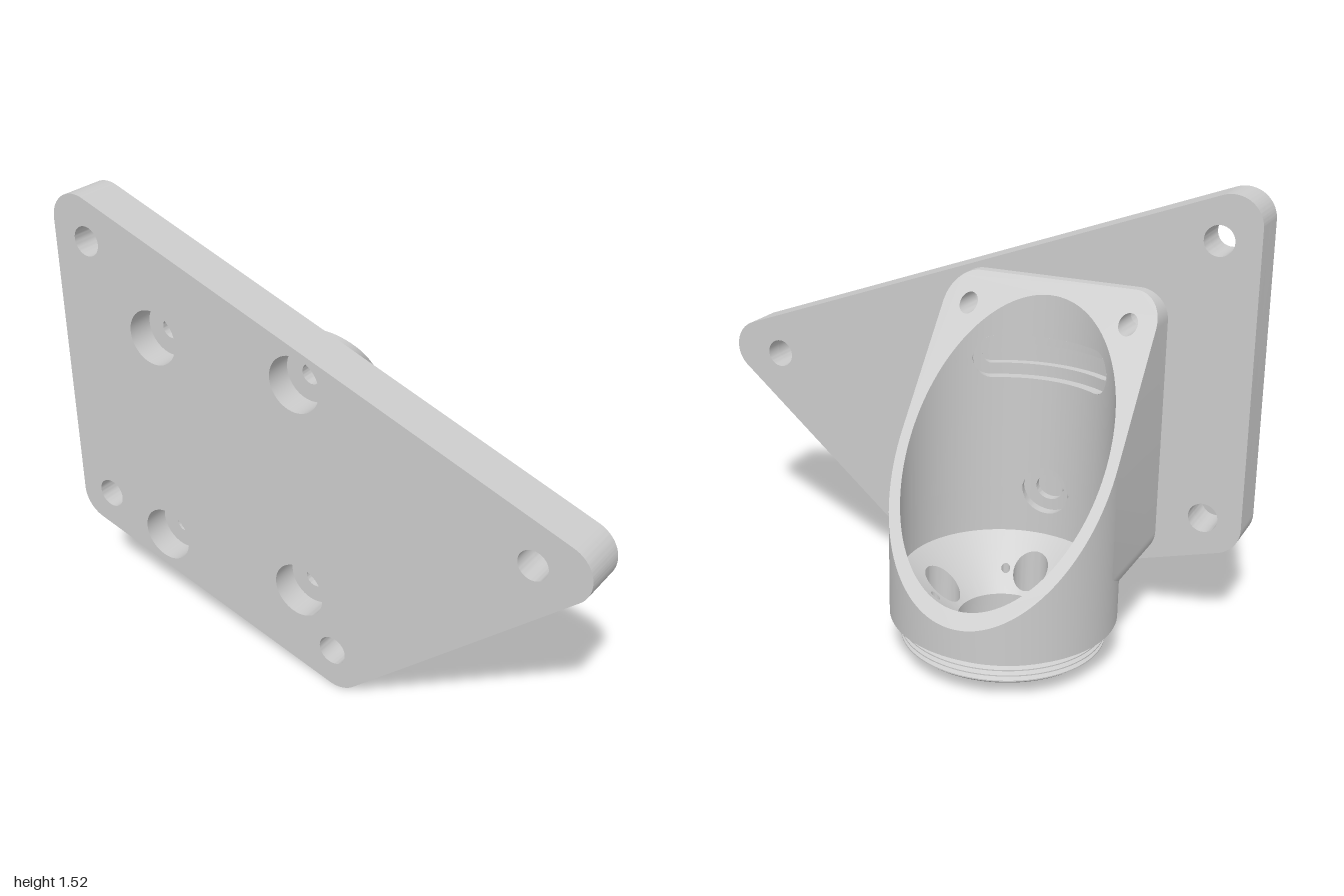
import * as THREE from 'three';
import { toCreasedNormals } from 'three/addons/utils/BufferGeometryUtils.js';

const mat = new THREE.MeshStandardMaterial({ color: 0xcccccc });
const openMat = new THREE.MeshStandardMaterial({ color: 0xcccccc, side: THREE.DoubleSide });

// Main sizes; the socket is built around its own vertical axis
const R = 0.38, RI = 0.343, CORE = 0.152, BACK = 0.42, SLOPE = 1.24, MID = 0.719;
const slantY = z => MID + SLOPE * z;
const slantZ = y => (y - MID) / SLOPE;
const coneY = r => 0.275 - 0.82 * (RI - r);
const polar = (a, r, y) => [Math.sin(a) * r, y, Math.cos(a) * r];
const lerp = THREE.MathUtils.lerp;

function add(group, name, geo, material = openMat) {
  const mesh = new THREE.Mesh(toCreasedNormals(geo, 0.6), material);
  mesh.name = name;
  group.add(mesh);
  return mesh;
}

// Surface from f(u, v) -> [x, y, z]
function grid(nu, nv, f) {
  const pos = [], idx = [];
  for (let i = 0; i <= nu; i++)
    for (let j = 0; j <= nv; j++) pos.push(...f(i / nu, j / nv));
  for (let i = 0; i < nu; i++)
    for (let j = 0; j < nv; j++) {
      const a = i * (nv + 1) + j, b = a + nv + 1;
      idx.push(a, b, a + 1, b, b + 1, a + 1);
    }
  const g = new THREE.BufferGeometry();
  g.setAttribute('position', new THREE.Float32BufferAttribute(pos, 3));
  g.setIndex(idx);
  g.computeVertexNormals();
  return g;
}

// Plate: rounded outline around four corner centres, in two layers for the counterbores
function buildPlate(group) {
  const corners = [[0.105, 0.102], [0.898, 0.765], [-0.89, 1.42], [-0.895, 0.4]];
  const holes = [[-0.855, 1.37], [0.81, 0.755], [0.09, 0.14], [-0.865, 0.42]];
  const bolts = [[-0.6, 1.095], [-0.03, 1.09], [-0.61, 0.34], [-0.04, 0.33]];
  const edge = (a, b) => Math.atan2(a[0] - b[0], b[1] - a[1]);
  for (const [name, z, depth, r] of [['plateFront', 0.385, 0.09, 0.095], ['plateBack', 0.32, 0.065, 0.035]]) {
    const s = new THREE.Shape();
    corners.forEach((c, i) =>
      s.absarc(c[0], c[1], 0.102, edge(corners[(i + 3) % 4], c), edge(c, corners[(i + 1) % 4]), false));
    const drill = (p, rad) => s.holes.push(new THREE.Path().absarc(p[0], p[1], rad, 0, Math.PI * 2, true));
    holes.forEach(p => drill(p, 0.051));
    bolts.forEach(p => drill(p, r));
    const g = new THREE.ExtrudeGeometry(s, { depth, bevelEnabled: false, curveSegments: 24 });
    add(group, name, g.translate(0, 0, z), mat);
  }
}

// Half outline of the block seen from the front, bottom centre to top centre
function blockOutline() {
  const pts = [];
  for (let i = 0; i <= 12; i++) pts.push([0.28 * i / 12, 0.235]);
  for (let i = 1; i <= 12; i++) {
    const a = Math.PI / 24 * i;
    pts.push([0.28 + 0.1 * Math.sin(a), 0.335 - 0.1 * Math.cos(a)]);
  }
  pts.push([R, MID]);
  for (let i = 0; i <= 12; i++) {
    const a = Math.PI / 24 * i;
    pts.push([0.28 + 0.1 * Math.cos(a), 1.09 + 0.1 * Math.sin(a)]);
  }
  pts.push([0, 1.19]);
  return pts;
}

function buildShell(group) {
  const half = blockOutline(), n = half.length - 1;
  // Block sides, running from the plate to the cylinder or the slanted cut
  for (const s of [1, -1])
    add(group, 'blockSide', grid(n, 1, (u, v) => {
      const [x, y] = half[Math.round(u * n)];
      const z = y < 0.336 ? Math.sqrt(Math.max(0, R * R - x * x)) : slantZ(y);
      return [s * x, y, lerp(z, BACK, v)];
    }));
  // Round lower shell
  add(group, 'roundShell', grid(128, 1, (u, v) => {
    const [x, , z] = polar(u * Math.PI * 2, R, 0);
    const t = Math.max(0, Math.abs(x) - 0.28);
    const top = z > 0 ? 0.335 - Math.sqrt(Math.max(0, 0.01 - t * t)) : slantY(z);
    return [x, lerp(0.145, top, v), z];
  }));
  // Slanted rim with the cavity mouth and two bolt holes
  const upper = half.filter(p => p[1] >= MID);
  const pts = [...upper, ...upper.slice(0, -1).reverse().map(([x, y]) => [-x, y])];
  for (let i = 1; i < 64; i++) {
    const a = Math.PI * (1 + i / 64);
    pts.push([R * Math.cos(a), MID + R * SLOPE * Math.sin(a)]);
  }
  const face = new THREE.Shape(pts.map(p => new THREE.Vector2(...p)));
  face.holes.push(new THREE.Path().absellipse(0, MID, RI, RI * SLOPE, 0, Math.PI * 2, true));
  for (const x of [-0.285, 0.285])
    face.holes.push(new THREE.Path().absarc(x, 1.093, 0.032, 0, Math.PI * 2, true));
  const rim = new THREE.ShapeGeometry(face, 64);
  const p = rim.attributes.position;
  for (let i = 0; i < p.count; i++) p.setZ(i, slantZ(p.getY(i)));
  rim.computeVertexNormals();
  add(group, 'slantedRim', rim);
  // Bolt holes: upper pair opens on the rim, lower pair is blind
  for (const x of [-0.285, 0.285])
    for (const y of [1.093, 0.335]) {
      const end = yy => (y > 1 ? slantZ(yy) : 0.26);
      add(group, 'boltHole', grid(24, 1, (u, v) => {
        const a = u * Math.PI * 2, yy = y + 0.033 * Math.sin(a);
        return [x + 0.033 * Math.cos(a), yy, lerp(end(yy), BACK, v)];
      }));
      if (y < 1) add(group, 'boltHoleEnd', new THREE.CircleGeometry(0.034, 24).translate(x, y, 0.26));
    }
}

// Half height of a round-ended slot at angle a
function slotHalf(a, s) {
  const t = Math.max(0, Math.abs(a) * RI - (s.len - s.h));
  return t >= s.h ? 0 : Math.sqrt(s.h * s.h - t * t);
}

function buildCavity(group) {
  const slots = [
    { y: 0.44, outer: { len: 0.085, h: 0.085 }, inner: { len: 0.045, h: 0.045 } },
    { y: 0.92, outer: { len: 0.265, h: 0.075 }, inner: { len: 0.225, h: 0.035 } },
  ];
  // Wall in bands between the slots
  const [lo, hi] = slots;
  const bands = [
    [() => 0.275, a => lo.y - slotHalf(a, lo.outer)],
    [a => lo.y + slotHalf(a, lo.outer), a => hi.y - slotHalf(a, hi.outer)],
    [a => hi.y + slotHalf(a, hi.outer), () => 9],
  ];
  for (const [from, to] of bands)
    add(group, 'cavityWall', grid(256, 1, (u, v) => {
      const a = (u * 2 - 1) * Math.PI, top = slantY(RI * Math.cos(a));
      return polar(a, RI, lerp(Math.min(from(a), top), Math.min(to(a), top), v));
    }));
  // Stepped slots in the front wall
  for (const { y, outer, inner } of slots) {
    const steps = [[outer, inner, RI, 0.38], [inner, { len: 0, h: 0 }, 0.38, 0.41]];
    for (const [s, next, r0, r1] of steps)
      for (const d of [-1, 1]) {
        const angle = u => -Math.cos(u * Math.PI) * s.len / RI;
        add(group, 'slotSide', grid(40, 1, (u, v) =>
          polar(angle(u), lerp(r0, r1, v), y + d * slotHalf(angle(u), s))));
        add(group, 'slotBack', grid(40, 1, (u, v) =>
          polar(angle(u), r1, y + d * lerp(slotHalf(angle(u), next), slotHalf(angle(u), s), v))));
      }
  }
}

// Ring sector [a0, a1] x [r0, r1] with a round hole at angle ac
function holedSector(a0, a1, r0, r1, ac, rad, yAt) {
  const cx = Math.sin(ac) * 0.227, cz = Math.cos(ac) * 0.227;
  return grid(48, 5, (u, v) => {
    const side = Math.floor(u * 4) % 4, t = (u * 4 % 1) * 2 - 1;
    const [sx, sy] = [[t, -1], [1, t], [-t, 1], [-1, -t]][side];
    const k = rad / Math.hypot(sx, sy);
    const x = cx + k * (sx * Math.cos(ac) + sy * Math.sin(ac));
    const z = cz + k * (-sx * Math.sin(ac) + sy * Math.cos(ac));
    const r = lerp(Math.hypot(x, z), sy < 0 ? lerp(0.227, r0, -sy) : lerp(0.227, r1, sy), v);
    const da = Math.atan2(Math.sin(Math.atan2(x, z) - ac), Math.cos(Math.atan2(x, z) - ac));
    const a = ac + lerp(da, sx < 0 ? (a0 - ac) * -sx : (a1 - ac) * sx, v);
    return polar(a, r, yAt(r));
  });
}

function buildBase(group) {
  const deg = Math.PI / 180;
  // Conical floor above, flat underside below, both with the same holes
  for (const [name, r1, yAt] of [['conicalFloor', RI, coneY], ['underside', 0.32, () => 0.05]])
    for (let q = 0; q < 4; q++) {
      const b = q * 90;
      add(group, name, holedSector((b - 17) * deg, (b + 17) * deg, CORE, r1, b * deg, 0.06, yAt));
      add(group, name, holedSector((b + 17) * deg, (b + 28) * deg, CORE, r1, (b + 22.5) * deg, 0.015, yAt));
      add(group, name, grid(14, 3, (u, v) => {
        const r = lerp(CORE, r1, v);
        return polar((b + 28 + 45 * u) * deg, r, yAt(r));
      }));
    }
  // Vertical walls of the holes
  const bore = (name, cx, cz, r) => add(group, name, grid(48, 1, (u, v) => {
    const x = cx + r * Math.sin(u * 2 * Math.PI), z = cz + r * Math.cos(u * 2 * Math.PI);
    return [x, lerp(0.05, coneY(Math.hypot(x, z)), v), z];
  }));
  bore('centreBore', 0, 0, CORE);
  for (let q = 0; q < 4; q++)
    for (const [off, r] of [[0, 0.06], [22.5, 0.015]]) {
      const [x, , z] = polar((q * 90 + off) * deg, 0.227, 0);
      bore('floorHole', x, z, r);
    }
  // Threaded collar and the ledge above it
  const prof = [[0.32, 0.05], [0.328, 0.053]];
  for (let i = 0; i < 4; i++) prof.push([0.342, 0.064 + i * 0.019], [0.342, 0.068 + i * 0.019], [0.325, 0.076 + i * 0.019]);
  prof.push([0.325, 0.145], [R, 0.145]);
  add(group, 'threadedCollar', new THREE.LatheGeometry(prof.map(q => new THREE.Vector2(...q)), 96));
}

export function createModel() {
  const model = new THREE.Group();
  model.name = 'angledSocketBracket';
  const plate = new THREE.Group();
  plate.name = 'mountingPlate';
  buildPlate(plate);
  const socket = new THREE.Group();
  socket.name = 'socket';
  socket.position.set(-0.323, 0, -0.097);
  buildShell(socket);
  buildCavity(socket);
  buildBase(socket);
  model.add(plate, socket);
  return model;
}
